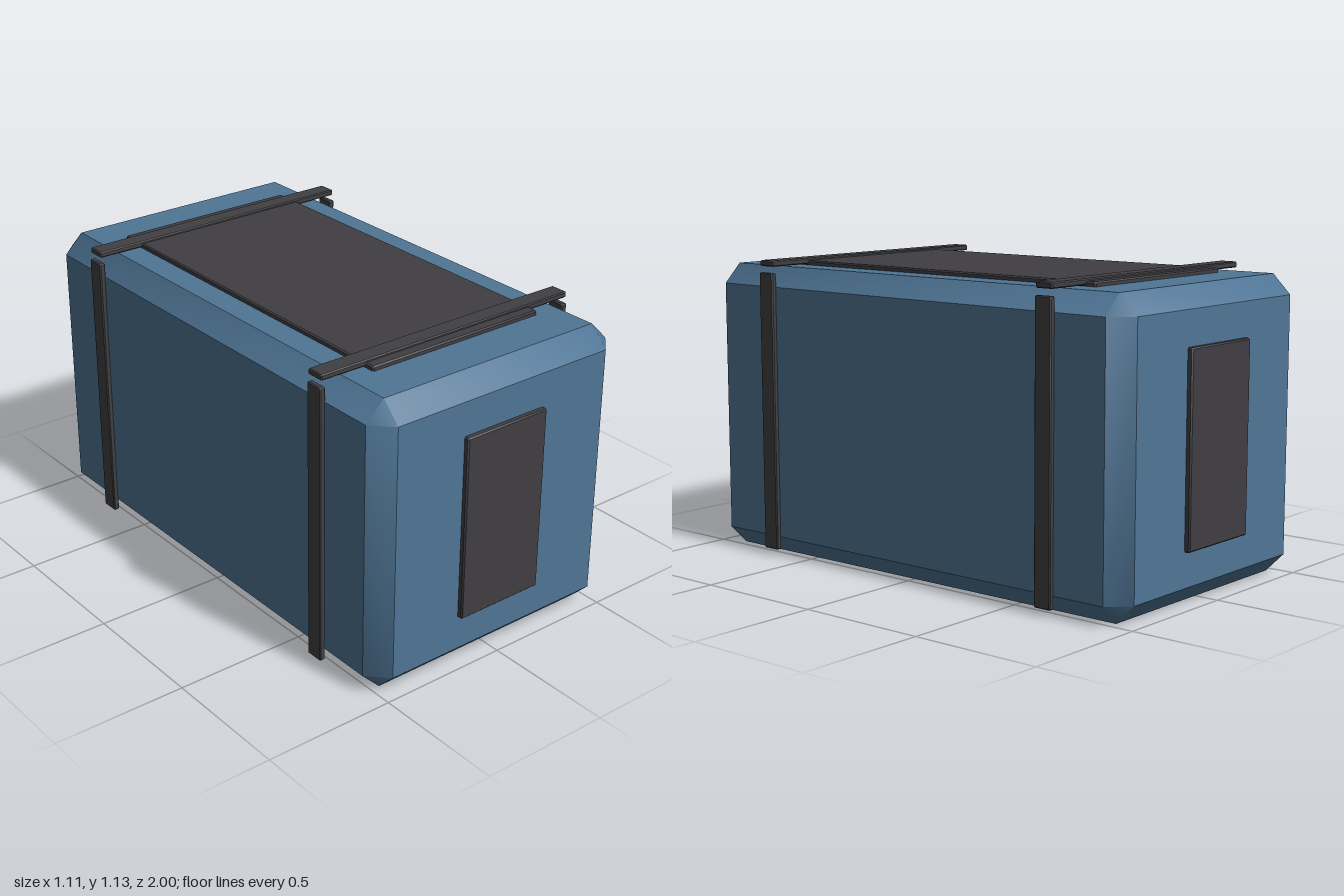
import * as THREE from 'three';
import { toCreasedNormals } from 'three/addons/utils/BufferGeometryUtils.js';
import { ConvexGeometry } from 'three/addons/geometries/ConvexGeometry.js';

// Box with single-segment chamfers on every edge
function chamferBox(w, h, d, c) {
  const points = [];
  for (const sx of [-1, 1]) for (const sy of [-1, 1]) for (const sz of [-1, 1]) {
    const x = w / 2, y = h / 2, z = d / 2;
    points.push(
      new THREE.Vector3(sx * x, sy * (y - c), sz * (z - c)),
      new THREE.Vector3(sx * (x - c), sy * y, sz * (z - c)),
      new THREE.Vector3(sx * (x - c), sy * (y - c), sz * z));
  }
  // chamfers blend into the corner triangles, flat faces stay crisp
  return toCreasedNormals(new ConvexGeometry(points), 0.7);
}

export function createModel() {
  const group = new THREE.Group();
  const shell = new THREE.MeshStandardMaterial({ color: 0x4f7595 });
  const panel = new THREE.MeshStandardMaterial({ color: 0x403e42 });
  const strap = new THREE.MeshStandardMaterial({ color: 0x404043 });
  shell.name = 'blue shell';
  panel.name = 'dark panel';
  strap.name = 'dark strap';

  function add(name, material, size, position, chamfer) {
    const mesh = new THREE.Mesh(chamferBox(...size, chamfer), material);
    mesh.name = name;
    mesh.position.set(...position);
    group.add(mesh);
  }

  // Main body
  add('body', shell, [1.075, 1.1, 1.96], [0, 0.55, 0], 0.073);

  // Inset panels on the top and both ends
  add('topPanel', panel, [0.736, 0.03, 1.476], [0, 1.102, 0], 0.005);
  add('frontPanel', panel, [0.356, 0.7, 0.03], [0, 0.55, 0.985], 0.005);
  add('backPanel', panel, [0.356, 0.7, 0.03], [0, 0.55, -0.985], 0.005);

  // Two sets of straps, each with a top bar and two side bars
  for (const [end, z] of [['front', 0.663], ['back', -0.663]]) {
    add(end + 'TopStrap', strap, [1.1, 0.022, 0.07], [0, 1.115, z], 0.004);
    for (const [side, x] of [['Left', 0.544], ['Right', -0.544]]) {
      add(end + side + 'Strap', strap, [0.023, 1.055, 0.07], [x, 0.5525, z], 0.004);
    }
  }
  return group;
}
